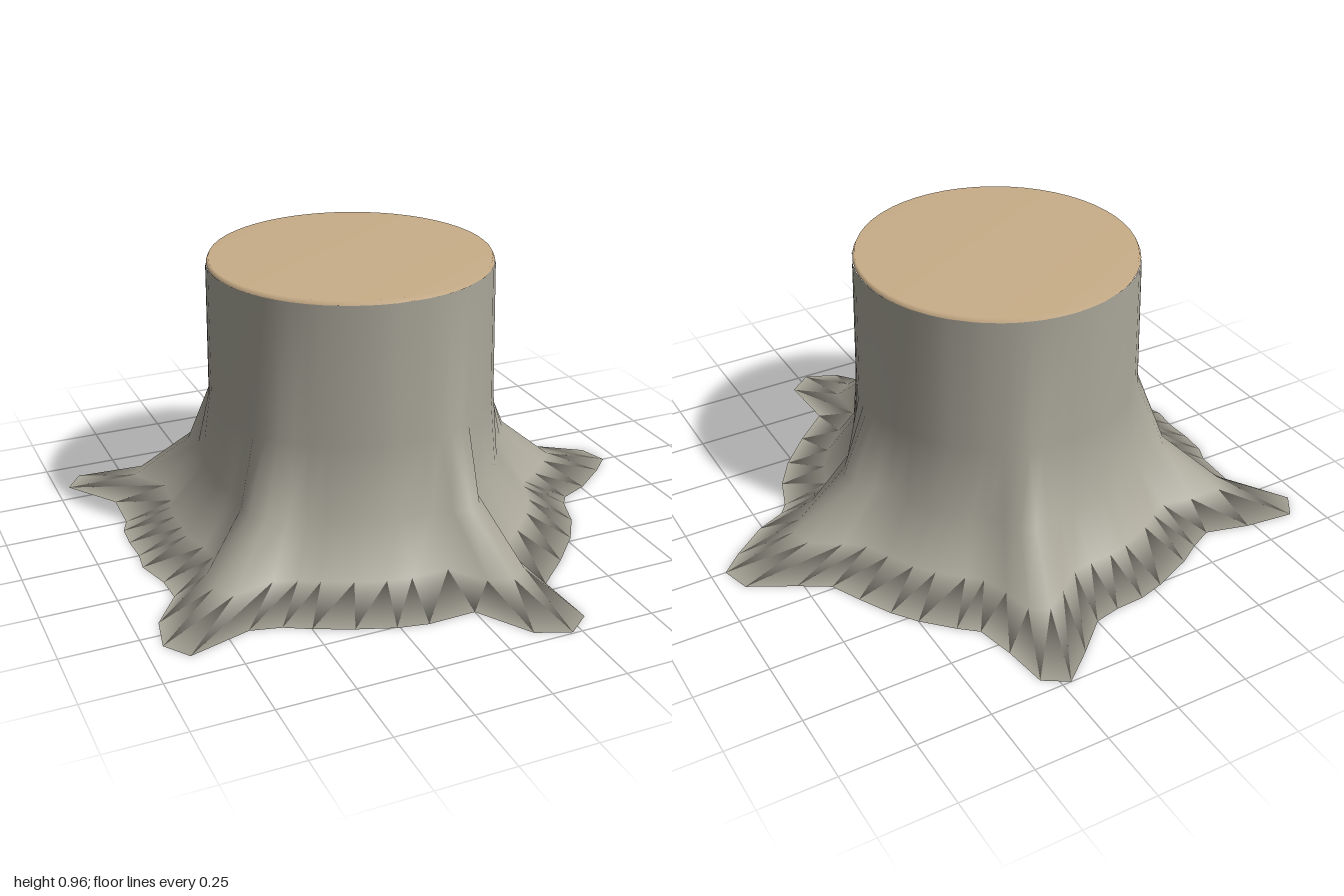
import * as THREE from 'three';

const CX = -0.085; // trunk axis
const BASE = 0.785; // outline radius between roots

// Ground outline (x, z), counterclockwise seen from above
const outline = [
  [0.95, 0], [0.92, -0.1], [0.77, -0.18], [0.67, -0.24], [0.62, -0.34], [0.56, -0.45], [0.5, -0.53],
  [0.41, -0.62], [0.35, -0.67], [0.32, -0.8], [0.3, -0.95], [0.22, -1], [0.11, -0.91], [0, -0.81],
  [-0.09, -0.79], [-0.19, -0.785], [-0.28, -0.76], [-0.42, -0.7], [-0.5, -0.65], [-0.58, -0.61],
  [-0.73, -0.65], [-0.9, -0.67], [-0.955, -0.59], [-0.83, -0.41], [-0.835, -0.25], [-0.86, -0.19],
  [-0.865, -0.1], [-0.86, 0], [-0.87, 0.08], [-0.835, 0.2], [-0.83, 0.3], [-0.92, 0.43],
  [-0.945, 0.56], [-0.885, 0.645], [-0.68, 0.585], [-0.58, 0.61], [-0.5, 0.655], [-0.38, 0.71],
  [-0.26, 0.755], [-0.16, 0.775], [0, 0.77], [0.11, 0.95], [0.22, 0.995], [0.3, 0.93], [0.29, 0.71],
  [0.41, 0.6], [0.52, 0.48], [0.59, 0.37], [0.63, 0.25], [0.66, 0.21], [0.76, 0.165], [0.88, 0.07],
];

// Rings up the trunk: height, plain radius, how far the roots still bulge
const rings = [
  [0, BASE, 1],
  [0.075, 0.625, 0.64],
  [0.24, 0.507, 0.36],
  [0.48, 0.483, 0.03],
  [0.945, 0.476, 0],
];

function barkGeometry() {
  const n = outline.length;
  const polar = outline.map(([x, z]) => ({ a: Math.atan2(z, x - CX), r: Math.hypot(x - CX, z) }));
  let bulge = polar.map((p) => p.r - BASE);
  const pos = [], idx = [];
  rings.forEach(([y, radius, amount], k) => {
    // Roots widen a little as they climb the trunk
    if (k > 1) bulge = bulge.map((b, i) => 0.6 * b + 0.2 * (bulge[(i + 1) % n] + bulge[(i + n - 1) % n]));
    polar.forEach(({ a }, i) => {
      const r = radius + amount * bulge[i];
      pos.push(CX + r * Math.cos(a), y, r * Math.sin(a));
    });
  });
  for (let k = 0; k < rings.length - 1; k++) {
    for (let i = 0; i < n; i++) {
      const j = (i + 1) % n, a = k * n + i, b = k * n + j;
      idx.push(a, b, b + n, a, b + n, a + n);
    }
  }
  // Underside fan shares the outline, so the bottom edge shades softly
  const centre = pos.length / 3;
  pos.push(CX, 0, 0);
  for (let i = 0; i < n; i++) idx.push(centre, (i + 1) % n, i);

  const g = new THREE.BufferGeometry();
  g.setAttribute('position', new THREE.Float32BufferAttribute(pos, 3));
  g.setIndex(idx);
  g.computeVertexNormals();
  return g;
}

export function createModel() {
  const bark = new THREE.MeshStandardMaterial({ color: 0xa8a598 });
  bark.name = 'greyBark';
  const wood = new THREE.MeshStandardMaterial({ color: 0xc8ad88 });
  wood.name = 'cutWood';

  const model = new THREE.Group();
  model.name = 'treeStump';

  const trunk = new THREE.Mesh(barkGeometry(), bark);
  trunk.name = 'trunkAndRoots';
  model.add(trunk);

  // Sawn top with a soft rounded rim
  const profile = [[0.474, 0.943], [0.467, 0.958], [0, 0.958]].map(([x, y]) => new THREE.Vector2(x, y));
  const cut = new THREE.Mesh(new THREE.LatheGeometry(profile, 52), wood);
  cut.name = 'cutFace';
  cut.position.x = CX;
  model.add(cut);

  return model;
}
